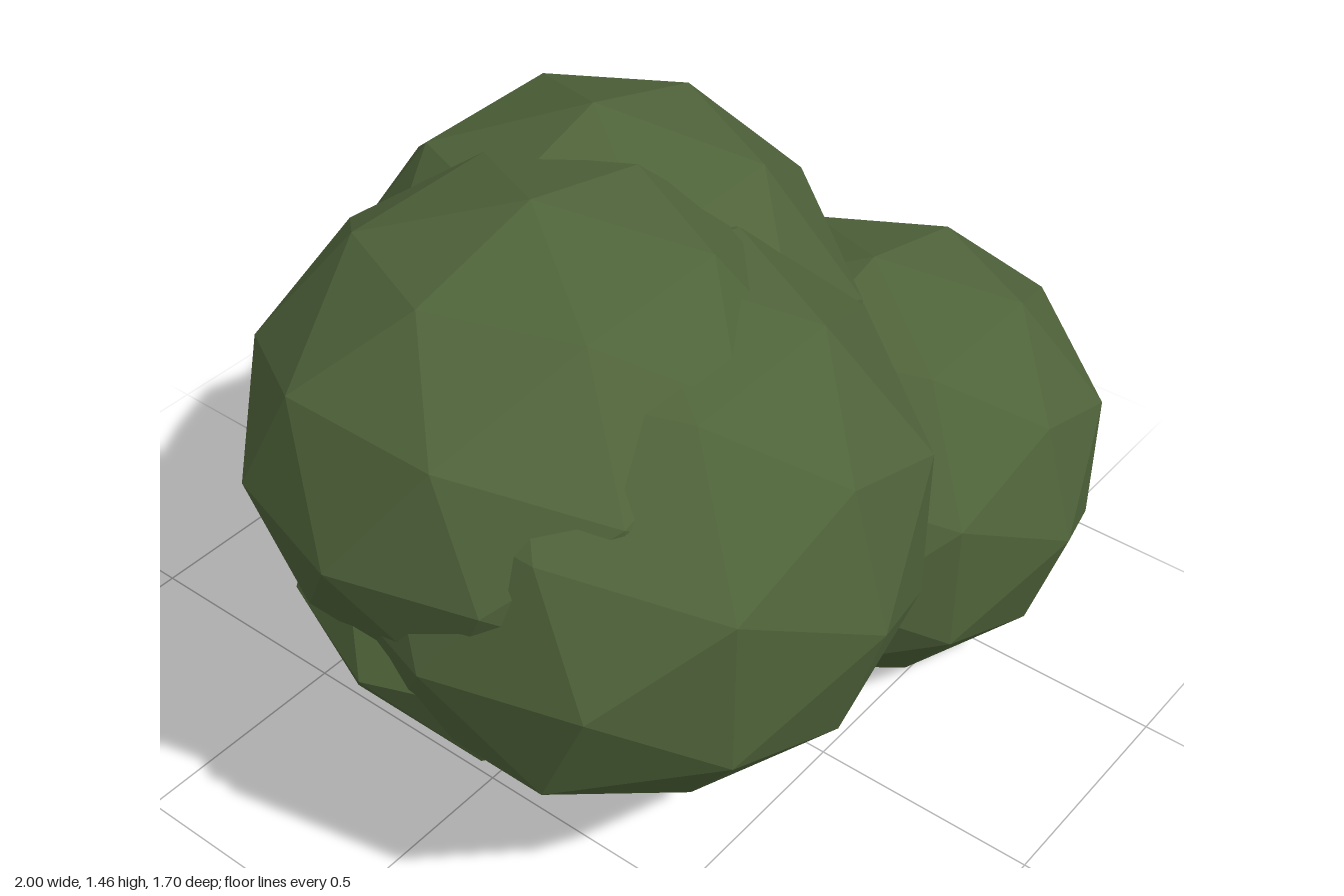
import * as THREE from 'three';

// Each leaf clump: name, centre, radii
const CLUMPS = [
  ['lowerLeftClump', [0.45, 0.445, 0.255], [0.55, 0.49, 0.525]],
  ['frontRightClump', [-0.37, 0.82, 0.28], [0.59, 0.54, 0.57]],
  ['upperRightClump', [-0.44, 0.985, 0.11], [0.56, 0.475, 0.54]],
  ['upperMiddleClump', [-0.08, 0.85, -0.05], [0.55, 0.58, 0.55]],
  ['backLeftClump', [0.22, 0.635, -0.275], [0.56, 0.485, 0.575]],
  ['coreClump', [-0.23, 0.7, 0.12], [0.72, 0.42, 0.51]],
];

// Low-poly squashed ball, flattened where it meets the ground
function clumpGeometry(centre, radii) {
  const geometry = new THREE.IcosahedronGeometry(1, 1);
  geometry.scale(...radii);
  geometry.translate(...centre);
  const position = geometry.attributes.position;
  for (let i = 0; i < position.count; i++) {
    position.setY(i, Math.max(0, position.getY(i)));
  }
  geometry.computeVertexNormals();
  return geometry;
}

export function createModel() {
  const bush = new THREE.Group();
  bush.name = 'bush';
  const leaves = new THREE.MeshStandardMaterial({ color: 0x4f633a, flatShading: true });
  for (const [name, centre, radii] of CLUMPS) {
    const clump = new THREE.Mesh(clumpGeometry(centre, radii), leaves);
    clump.name = name;
    bush.add(clump);
  }
  return bush;
}
